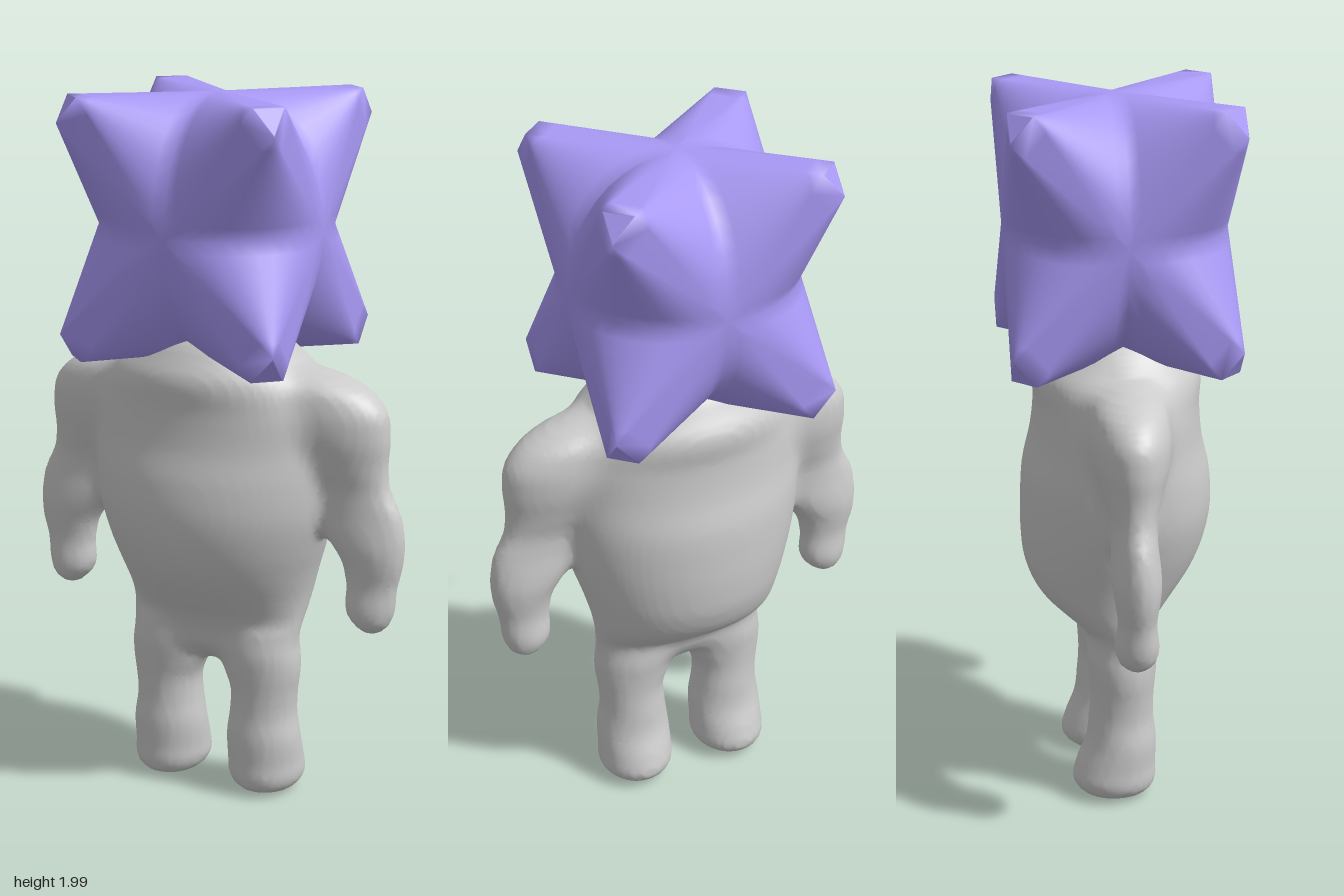
import * as THREE from 'three';
import { mergeVertices } from 'three/addons/utils/BufferGeometryUtils.js';

// Body parts as horizontal oval sections [y, xMin, xMax, zMin, zMax], bottom to top
const torso = [
  [0.395, -0.06, 0.06, -0.03, 0.03],
  [0.415, -0.15, 0.15, -0.06, 0.06],
  [0.45, -0.225, 0.225, -0.085, 0.09],
  [0.5, -0.255, 0.255, -0.105, 0.105],
  [0.55, -0.266, 0.266, -0.165, 0.128],
  [0.6, -0.275, 0.275, -0.218, 0.165],
  [0.68, -0.295, 0.295, -0.255, 0.218],
  [0.76, -0.32, 0.32, -0.265, 0.25],
  [0.86, -0.345, 0.345, -0.265, 0.268],
  [0.96, -0.355, 0.355, -0.258, 0.262],
  [1.06, -0.355, 0.355, -0.235, 0.24],
  [1.16, -0.345, 0.345, -0.225, 0.232],
  [1.25, -0.295, 0.295, -0.23, 0.235],
  [1.3, -0.24, 0.24, -0.2, 0.21],
  [1.35, -0.19, 0.19, -0.165, 0.175],
  [1.4, -0.11, 0.11, -0.1, 0.105],
  [1.425, -0.03, 0.03, -0.03, 0.03],
];
const arm = [
  [0.547, 0.45, 0.51, -0.03, 0.03],
  [0.56, 0.435, 0.525, -0.045, 0.045],
  [0.59, 0.41, 0.54, -0.058, 0.058],
  [0.68, 0.404, 0.553, -0.052, 0.052],
  [0.74, 0.39, 0.567, -0.06, 0.06],
  [0.785, 0.36, 0.571, -0.066, 0.066],
  [0.83, 0.32, 0.57, -0.065, 0.065],
  [0.89, 0.29, 0.556, -0.06, 0.06],
  [0.95, 0.27, 0.527, -0.062, 0.062],
  [1.01, 0.22, 0.517, -0.08, 0.08],
  [1.1, 0.14, 0.52, -0.105, 0.105],
  [1.18, 0.1, 0.5, -0.108, 0.108],
  [1.24, 0.08, 0.42, -0.095, 0.095],
  [1.27, 0.08, 0.32, -0.06, 0.06],
  [1.28, 0.14, 0.24, -0.02, 0.02],
];
const leg = [
  [0.009, 0.1, 0.21, -0.085, 0.045],
  [0.024, 0.07, 0.24, -0.115, 0.08],
  [0.055, 0.046, 0.26, -0.138, 0.098],
  [0.1, 0.043, 0.26, -0.13, 0.098],
  [0.18, 0.044, 0.258, -0.1, 0.1],
  [0.25, 0.053, 0.248, -0.092, 0.092],
  [0.32, 0.054, 0.252, -0.087, 0.092],
  [0.38, 0.032, 0.26, -0.09, 0.098],
  [0.44, 0.02, 0.258, -0.095, 0.102],
  [0.5, 0.05, 0.24, -0.085, 0.09],
];

// Approximate distance from a stack of oval sections; setY picks the section
function stack(sections) {
  const spline = new THREE.CubicInterpolant(sections.map((s) => s[0]), sections.flatMap((s) => s.slice(1)), 4);
  const bottom = sections[0][0], top = sections[sections.length - 1][0];
  let cx, cz, rx, rz, beyond;
  return {
    setY(y) {
      const [x0, x1, z0, z1] = spline.evaluate(THREE.MathUtils.clamp(y, bottom, top));
      cx = (x0 + x1) / 2;
      cz = (z0 + z1) / 2;
      rx = Math.max((x1 - x0) / 2, 0.005);
      rz = Math.max((z1 - z0) / 2, 0.005);
      beyond = Math.max(bottom - y, y - top, 0);
    },
    distance(x, z) {
      const u = (x - cx) / rx, v = (z - cz) / rz;
      const k = Math.hypot(u, v);
      const d = k < 0.01 ? -Math.min(rx, rz) : (k * (k - 1)) / Math.hypot(u / rx, v / rz);
      return beyond > 0 ? Math.hypot(Math.max(d, 0), beyond) : d;
    },
  };
}

function smoothMin(a, b, k) {
  const h = Math.max(k - Math.abs(a - b), 0) / k;
  return Math.min(a, b) - (h * h * k) / 4;
}

// One smooth skin around torso, mirrored arms and mirrored legs
function bodyGeometry(h = 0.015) {
  const origin = [-0.63, -0.0375, -0.315], size = [85, 101, 43];
  const stride = [1, size[0], size[0] * size[1]];
  const field = new Float32Array(size[0] * size[1] * size[2]);
  const parts = [torso, arm, leg].map(stack);
  for (let j = 0; j < size[1]; j++) {
    parts.forEach((p) => p.setY(origin[1] + j * h));
    for (let k = 0; k < size[2]; k++) for (let i = 0; i < size[0]; i++) {
      const x = Math.abs(origin[0] + i * h), z = origin[2] + k * h;
      const [t, a, l] = parts.map((p) => p.distance(x, z));
      field[i + j * stride[1] + k * stride[2]] = smoothMin(smoothMin(t, a, 0.04), l, 0.035);
    }
  }

  // One vertex per crossed cell, one quad per crossed grid edge
  const pos = [], idx = [], cellVertex = new Map();
  const offset = (c) => (c & 1) * stride[0] + ((c >> 1) & 1) * stride[1] + ((c >> 2) & 1) * stride[2];
  const cells = (visit) => {
    for (let k = 1; k < size[2] - 1; k++) for (let j = 1; j < size[1] - 1; j++) for (let i = 1; i < size[0] - 1; i++) {
      visit([i, j, k], i + j * stride[1] + k * stride[2]);
    }
  };
  cells((at, id) => {
    const sum = [0, 0, 0];
    let n = 0;
    for (let c = 0; c < 8; c++) for (let a = 0; a < 3; a++) {
      if ((c >> a) & 1) continue;
      const f0 = field[id + offset(c)], f1 = field[id + offset(c) + stride[a]];
      if ((f0 < 0) === (f1 < 0)) continue;
      for (let m = 0; m < 3; m++) sum[m] += m === a ? f0 / (f0 - f1) : (c >> m) & 1;
      n++;
    }
    if (!n) return;
    cellVertex.set(id, pos.length / 3);
    pos.push(...sum.map((s, m) => origin[m] + (at[m] + s / n) * h));
  });
  cells((at, id) => {
    for (let a = 0; a < 3; a++) {
      const inside = field[id] < 0;
      if (inside === field[id + stride[a]] < 0) continue;
      const b = stride[(a + 1) % 3], c = stride[(a + 2) % 3];
      const q = [id - b - c, id - c, id, id - b].map((v) => cellVertex.get(v));
      if (!inside) q.reverse();
      idx.push(q[0], q[1], q[2], q[0], q[2], q[3]);
    }
  });
  const g = new THREE.BufferGeometry();
  g.setAttribute('position', new THREE.Float32BufferAttribute(pos, 3));
  g.setIndex(idx);
  g.computeVertexNormals();
  return g;
}

// Eight-pointed star: a spike with a cut tip rises from a round core towards each corner of a box
function starGeometry(hx, hy, hz, { cut = 0.8, roundness = 2.1, arc = 10, steps = 8 } = {}) {
  const pos = [];
  const V = (x, y, z) => new THREE.Vector3(x, y, z);
  const axes = [V(1, 0, 0), V(0, 1, 0), V(0, 0, 1)];
  // Outline of one spike at its base and at its tip
  const base = [], tip = [];
  for (let k = 0; k < 3; k++) {
    const a = axes[k], b = axes[(k + 1) % 3], c = axes[(k + 2) % 3];
    const before = V(1, 1, 1).addScaledVector(b, cut - 1);
    const after = V(1, 1, 1).addScaledVector(c, cut - 1);
    base.push(a);
    tip.push(before);
    for (let i = 0; i < arc; i++) {
      const t = (i / arc) * Math.PI / 2;
      base.push(V(0, 0, 0)
        .addScaledVector(a, Math.cos(t) ** (2 / roundness))
        .addScaledVector(b, Math.sin(t) ** (2 / roundness)));
      tip.push(after);
    }
  }
  const tipCentre = V(1, 1, 1).multiplyScalar((2 + cut) / 3);
  const rings = [];
  for (let i = 0; i <= steps; i++) rings.push(base.map((p, k) => p.clone().lerp(tip[k], i / steps)));
  for (const f of [0.12, 1]) rings.push(tip.map((p) => p.clone().lerp(tipCentre, f)));

  const count = base.length;
  for (const sx of [-1, 1]) for (const sy of [-1, 1]) for (const sz of [-1, 1]) {
    const tri = (a, b, c) => {
      const area = b.clone().sub(a).cross(c.clone().sub(a)).length();
      if (area < 1e-6) return;
      for (const p of sx * sy * sz > 0 ? [a, b, c] : [a, c, b]) pos.push(p.x * sx * hx, p.y * sy * hy, p.z * sz * hz);
    };
    for (let i = 0; i < rings.length - 1; i++) for (let k = 0; k < count; k++) {
      const n = (k + 1) % count, r = rings[i], s = rings[i + 1];
      tri(r[k], r[n], s[n]);
      tri(r[k], s[n], s[k]);
    }
  }
  let g = new THREE.BufferGeometry();
  g.setAttribute('position', new THREE.Float32BufferAttribute(pos, 3));
  g = mergeVertices(g, 1e-4);
  g.computeVertexNormals();
  return g;
}

export function createModel() {
  const model = new THREE.Group();
  const head = new THREE.Mesh(starGeometry(0.32, 0.355, 0.305), new THREE.MeshStandardMaterial({ color: 0xa899f5 }));
  head.name = 'starHead';
  head.position.y = 1.645;
  const body = new THREE.Mesh(bodyGeometry(), new THREE.MeshStandardMaterial({ color: 0xcccccc }));
  body.name = 'body';
  model.add(head, body);
  return model;
}
